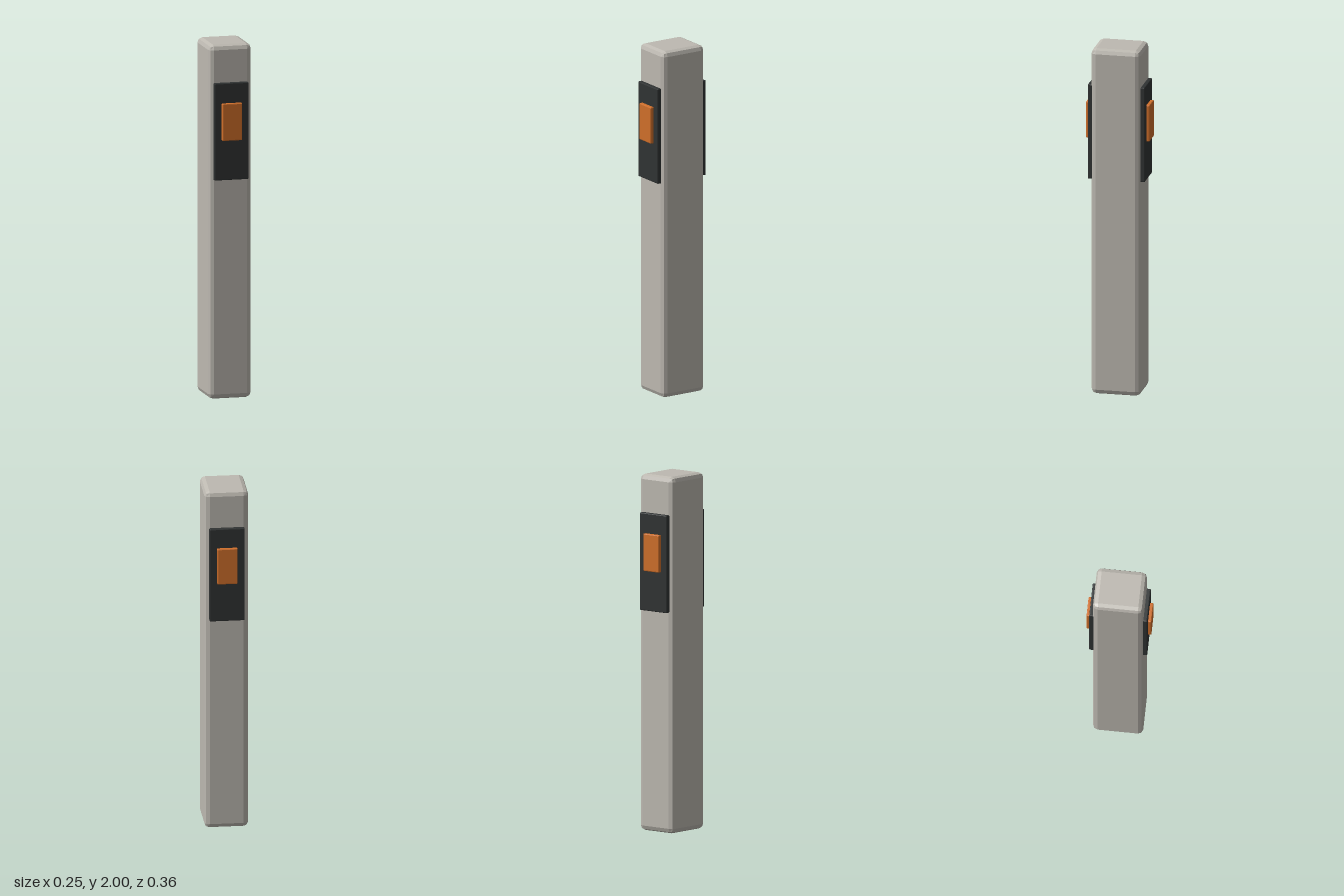
import * as THREE from 'three';
import { RoundedBoxGeometry } from 'three/addons/geometries/RoundedBoxGeometry.js';

const material = (color) => new THREE.MeshStandardMaterial({ color, flatShading: true });

// Box with a two-facet bevel on every edge
function bevelBox(name, size, radius, mat, position) {
  const mesh = new THREE.Mesh(new RoundedBoxGeometry(...size, 1, radius), mat);
  mesh.name = name;
  mesh.position.set(...position);
  return mesh;
}

export function createModel() {
  const model = new THREE.Group();
  model.name = 'post';
  const casing = material(0xbdb9b1);
  const dark = material(0x303333);
  const orange = material(0xd06f2a);

  // Tall upright body
  model.add(bevelBox('body', [0.245, 2, 0.28], 0.028, casing, [0, 1, 0]));

  // Dark panel with a raised button, on the front and on the back
  for (const [side, s] of [['front', 1], ['back', -1]]) {
    model.add(bevelBox(side + 'Panel', [0.196, 0.548, 0.044], 0.005, dark, [0, 1.514, s * 0.14]));
    model.add(bevelBox(side + 'Button', [0.114, 0.21, 0.04], 0.005, orange, [0, 1.57, s * 0.161]));
  }
  return model;
}
